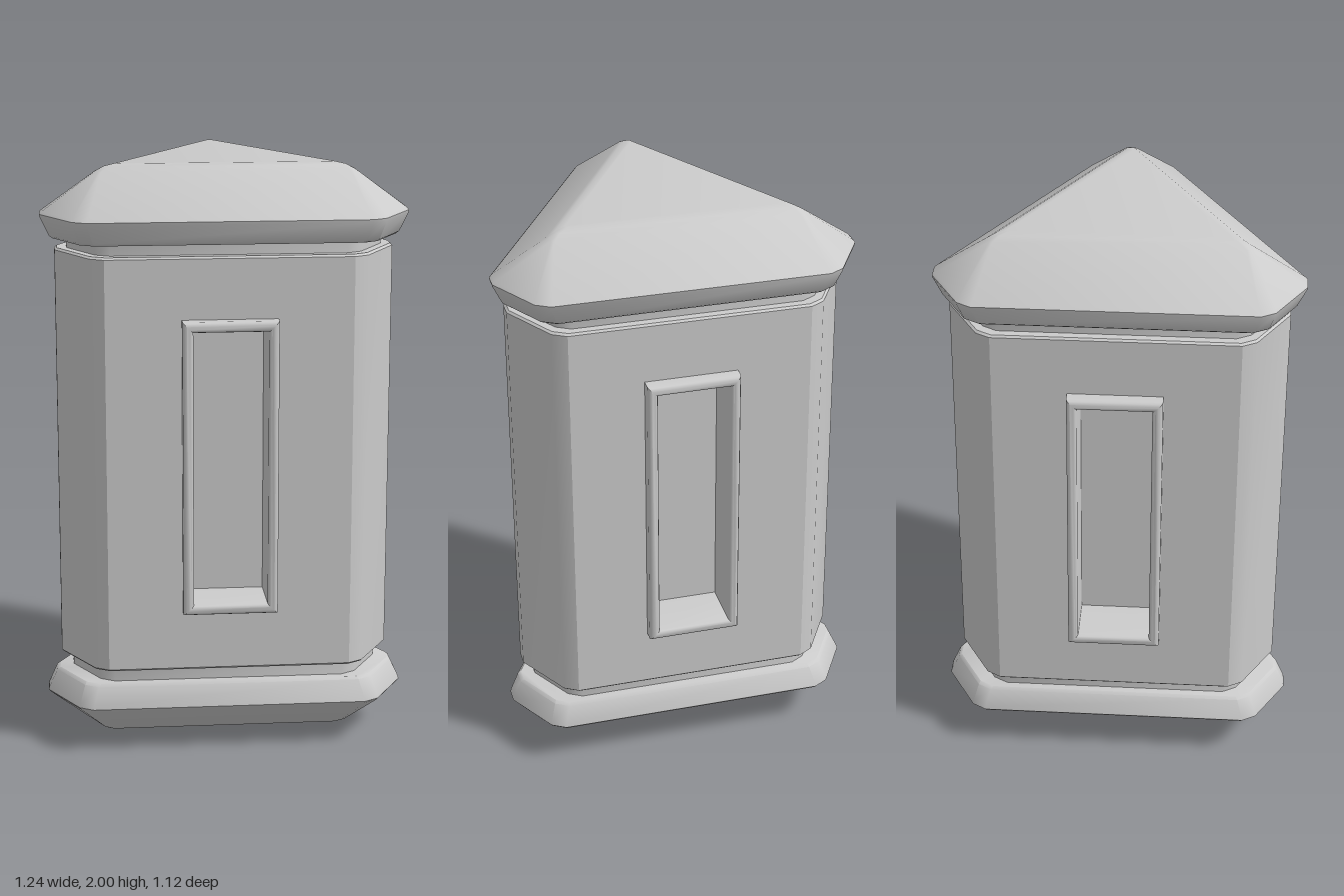
import * as THREE from 'three';
import { toCreasedNormals } from 'three/addons/utils/BufferGeometryUtils.js';

const grey = new THREE.MeshStandardMaterial({ color: 0xcccccc });
const S60 = Math.sin(Math.PI / 3);

// Triangle with cut, bevelled corners: a = distance to the faces, c = distance to the corner cuts
function outline(y, a, c) {
  const w = (a - c / 2) / S60, b = Math.min(0.032, w * 0.4), pts = [];
  for (let k = 0; k < 3; k++) {
    const t = Math.PI / 3 + k * 2 * Math.PI / 3, s = Math.sin(t), q = Math.cos(t);
    const add = (r, m) => pts.push(new THREE.Vector3(r * s + m * q, y, r * q - m * s));
    add(c - b * S60, -w - b / 2);
    add(c, b - w);
    add(c, w - b);
    add(c - b * S60, w + b / 2);
  }
  return pts;
}

// Rectangle facing +z, centred at mid height
const rect = (w, h, z) => [[-1, -1], [1, -1], [1, 1], [-1, 1]]
  .map(([i, j]) => new THREE.Vector3(i * w, 1.005 + j * h, z));

// Skin over a stack of rings, with optional flat ends and skipped quads
function loft(rings, { start = false, end = false, skip = () => false } = {}) {
  const n = rings[0].length, index = [];
  for (let i = 0; i < rings.length - 1; i++) {
    for (let j = 0; j < n; j++) {
      if (skip(i, j)) continue;
      const a = i * n + j, b = i * n + (j + 1) % n;
      index.push(a, b, b + n, a, b + n, a + n);
    }
  }
  const last = (rings.length - 1) * n;
  for (let j = 1; j < n - 1; j++) {
    if (start) index.push(0, j + 1, j);
    if (end) index.push(last, last + j, last + j + 1);
  }
  const geo = new THREE.BufferGeometry().setFromPoints(rings.flat());
  geo.setIndex(index);
  return toCreasedNormals(geo, 0.65);
}

function addMesh(parent, name, geo) {
  const mesh = new THREE.Mesh(geo, grey);
  mesh.name = name;
  parent.add(mesh);
}

export function createModel() {
  const model = new THREE.Group();
  model.name = 'triangularCanister';
  const hub = new THREE.Group();
  hub.name = 'hub';
  hub.position.z = 0.09;
  model.add(hub);

  // Sloped caps and recessed necks, the lower ones mirrored from the upper
  const cap = [
    [1.757, 0.41, 0.615], [1.765, 0.42, 0.625], [1.828, 0.443, 0.653], [1.838, 0.445, 0.655],
    [1.847, 0.437, 0.648], [1.978, 0.262, 0.495], [1.993, 0.24, 0.462], [2, 0.215, 0.42],
  ];
  const neck = [[1.70, 0.385, 0.56], [1.77, 0.385, 0.56]];
  const flip = p => p.map(([y, a, c]) => [2 - y, a, c]).reverse();
  const stack = p => loft(p.map(r => outline(...r)), { start: true, end: true });
  addMesh(hub, 'topCap', stack(cap));
  addMesh(hub, 'topNeck', stack(neck));
  addMesh(hub, 'bottomCap', stack(flip(cap)));
  addMesh(hub, 'bottomNeck', stack(flip(neck)));

  // Body corners and ends; the flat walls are left open for the panels
  const body = [[0.29, 0.413, 0.588], [0.297, 0.42, 0.595], [1.713, 0.42, 0.595], [1.72, 0.413, 0.588]]
    .map(r => outline(...r));
  addMesh(hub, 'bodyCorners', loft(body, {
    start: true, end: true, skip: (i, j) => i === 1 && j % 4 === 3,
  }));

  // Wall panel with a window opening
  const half = body[1][0].x;
  const path = (x, y0, y1) => [[-x, y0], [x, y0], [x, y1], [-x, y1]].map(p => new THREE.Vector2(...p));
  const wallShape = new THREE.Shape(path(half, 0.297, 1.713));
  wallShape.holes.push(new THREE.Path(path(0.135, 0.525, 1.485)));
  const wall = new THREE.ShapeGeometry(wallShape).translate(0, 0, 0.42);

  // Raised frame that runs down into a deep recess with a flat floor
  const frame = loft([
    [0.035, 0.41], [0.035, 0.455], [0.031, 0.464], [0.022, 0.47],
    [0.01, 0.47], [0.003, 0.465], [0, 0.457], [0, 0.285],
  ].map(([o, z]) => rect(0.125 + o, 0.47 + o, z)), { end: true });

  for (let k = 0; k < 3; k++) {
    const side = new THREE.Group();
    side.name = ['frontSide', 'leftSide', 'rightSide'][k];
    side.rotation.y = k * 2 * Math.PI / 3;
    addMesh(side, 'wallPanel', wall);
    addMesh(side, 'windowRecess', frame);
    hub.add(side);
  }
  return model;
}
